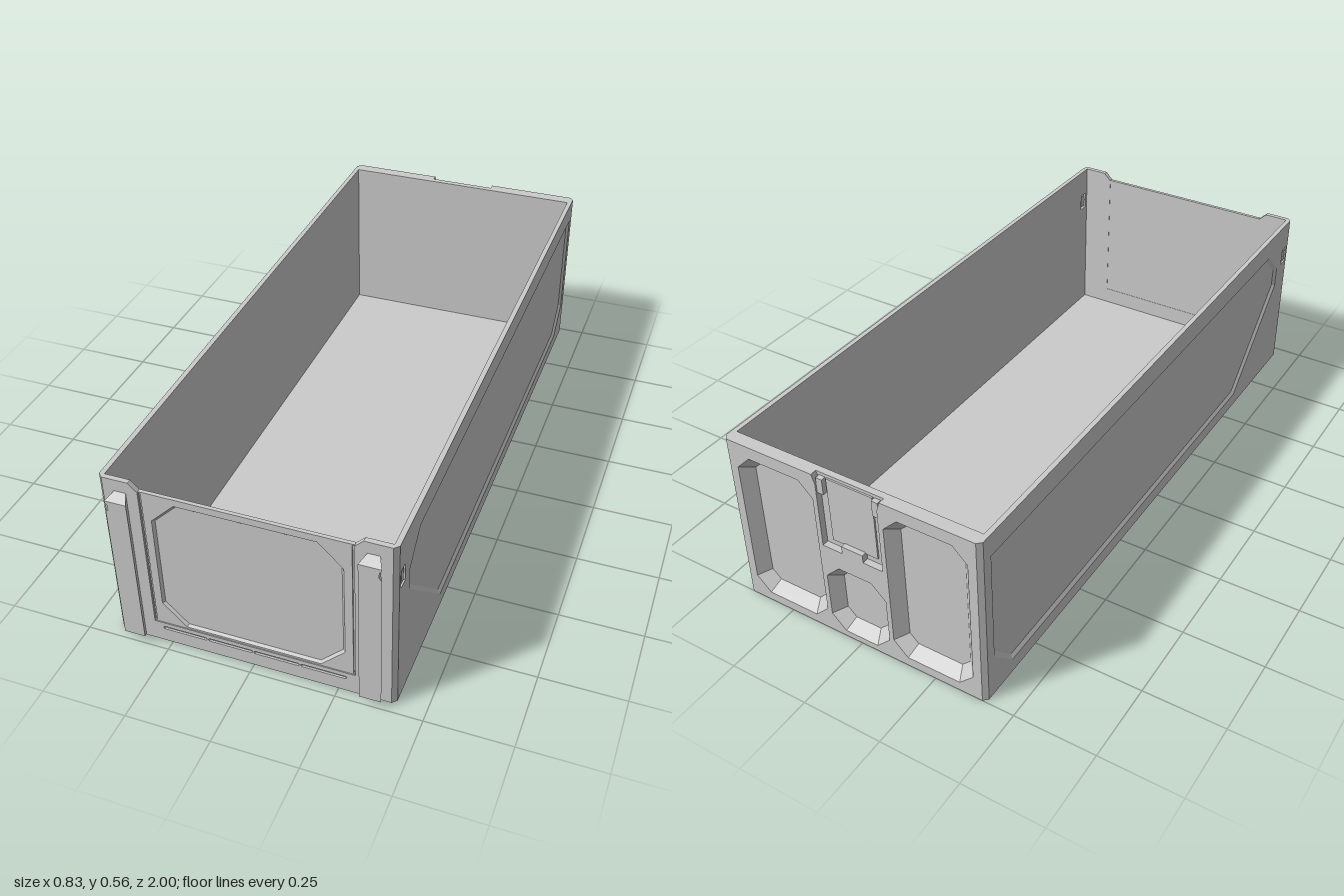
import * as THREE from 'three';

const material = new THREE.MeshStandardMaterial({ color: 0xcccccc, flatShading: true });

const toPoints = (pairs) => {
  const pts = pairs.map(([x, y]) => new THREE.Vector2(x, y));
  return THREE.ShapeUtils.isClockWise(pts) ? pts.reverse() : pts;
};

// Moves every edge of a counter-clockwise polygon inwards by d
function insetPolygon(pts, d) {
  const n = pts.length;
  const normal = (a, b) => {
    const e = b.clone().sub(a).normalize();
    return new THREE.Vector2(-e.y, e.x);
  };
  return pts.map((p, i) => {
    const n1 = normal(pts[(i + n - 1) % n], p);
    const n2 = normal(p, pts[(i + 1) % n]);
    return p.clone().addScaledVector(n1.clone().add(n2), d / (1 + n1.dot(n2)));
  });
}

// Closed slab facing +z with sloped recesses; recess = { pts, depth, inset, open }
function panel(name, outline, thickness, recesses = []) {
  const pos = [];
  const vert = (p, z) => pos.push(p.x, p.y, z);
  const fill = (contour, holes, z, flip) => {
    const all = contour.concat(...holes);
    for (const [a, b, c] of THREE.ShapeUtils.triangulateShape(contour.slice(), holes)) {
      for (const i of flip ? [a, c, b] : [a, b, c]) vert(all[i], z);
    }
  };
  const strip = (a, za, b, zb) => a.forEach((p, i) => {
    const j = (i + 1) % a.length;
    vert(p, za); vert(a[j], za); vert(b[j], zb);
    vert(p, za); vert(b[j], zb); vert(b[i], zb);
  });
  const edge = toPoints(outline);
  const cuts = recesses.map((r) => {
    const rim = toPoints(r.pts);
    return { ...r, rim, base: insetPolygon(rim, r.inset ?? 0) };
  });
  const reversed = (pts) => pts.slice().reverse();
  fill(edge, cuts.map((c) => reversed(c.rim)), 0, false);
  fill(edge, cuts.filter((c) => c.open).map((c) => reversed(c.base)), -thickness, true);
  strip(reversed(edge), 0, reversed(edge), -thickness);
  for (const c of cuts) {
    const z = c.open ? -thickness : -c.depth;
    strip(c.rim, 0, c.base, z);
    if (!c.open) fill(c.base, [], z, false);
  }
  const geometry = new THREE.BufferGeometry();
  geometry.setAttribute('position', new THREE.Float32BufferAttribute(pos, 3));
  geometry.computeVertexNormals();
  const mesh = new THREE.Mesh(geometry, material);
  mesh.name = name;
  return mesh;
}

function box(name, x0, x1, y0, y1, z0, z1) {
  const mesh = new THREE.Mesh(new THREE.BoxGeometry(x1 - x0, y1 - y0, z1 - z0), material);
  mesh.position.set((x0 + x1) / 2, (y0 + y1) / 2, (z0 + z1) / 2);
  mesh.name = name;
  return mesh;
}

const rect = (x0, x1, y0, y1) => [[x0, y0], [x1, y0], [x1, y1], [x0, y1]];
const chamferedRect = (x0, x1, y0, y1, c) => [
  [x0 + c, y0], [x1 - c, y0], [x1, y0 + c], [x1, y1 - c],
  [x1 - c, y1], [x0 + c, y1], [x0, y1 - c], [x0, y0 + c],
];

const H = 0.56, W = 0.415, FRONT = 0.97, BACK = -1, C = 0.013;

export function createModel() {
  const model = new THREE.Group();
  model.name = 'drawer';

  // Floor
  model.add(box('floor', -W + C, W - C, 0, 0.01, BACK + 0.01, FRONT - 0.01));
  for (const s of [-1, 1]) {
    model.add(box('floorEdge', s > 0 ? W - C : -W + 0.001, s > 0 ? W - 0.001 : -W + C, 0, 0.01, BACK + C, FRONT - C));
  }

  // Long side walls with a recessed field and a small slot
  const sideField = [[0.875, 0.41], [0.79, 0.49], [-0.955, 0.49], [-0.955, 0.135],
    [-0.87, 0.045], [0.58, 0.045], [0.875, 0.34]];
  for (const s of [-1, 1]) {
    const turn = (pts) => pts.map(([z, y]) => [-s * z, y]);
    const wall = panel('sideWall', turn(rect(BACK + C, FRONT - C, 0, H)), 0.015, [
      { pts: turn(sideField), depth: 0.008, inset: 0.012 },
      { pts: turn(rect(0.913, 0.946, 0.407, 0.464)), open: true },
    ]);
    wall.rotation.y = s * Math.PI / 2;
    wall.position.x = s * W;
    model.add(wall);
    const cx = s * (W - 0.007);
    model.add(box('slotInsert', cx - 0.005, cx + 0.005, 0.415, 0.456, 0.92, 0.939));
    model.add(box('slotBridge', cx - 0.003, cx + 0.003, 0.432, 0.439, 0.91, 0.95));

    // Chamfered corner posts
    for (const f of [1, -1]) {
      const end = f > 0 ? FRONT : BACK;
      const plan = [[W - C, 0], [W, C], [W - 0.015, C], [W - C - 0.004, 0.004]]
        .map(([x, d]) => [s * x, -(end - f * d)]);
      const post = panel('cornerPost', plan, H);
      post.rotation.x = -Math.PI / 2;
      post.position.y = H;
      model.add(post);
    }
  }

  // Front frame around the lower door, with a row of narrow slots below it
  const front = W - C;
  const slots = [-0.207, -0.069, 0.069, 0.207].map((x) => (
    { pts: chamferedRect(x - 0.067, x + 0.067, 0.045, 0.054, 0.003), depth: 0.006 }));
  const frame = panel('frontFrame', [
    [-front, 0], [front, 0], [front, H], [0.325, H], [0.3, 0.535], [0.3, 0.068],
    [-0.3, 0.068], [-0.3, 0.535], [-0.325, H], [-front, H],
  ], 0.015, slots);
  frame.position.z = FRONT;
  model.add(frame);

  // Front door
  const door = panel('frontDoor', rect(-0.3, 0.3, 0.068, 0.537), 0.011, [
    { pts: chamferedRect(-0.27, 0.27, 0.074, 0.515, 0.07), depth: 0.007, inset: 0.007 },
    { pts: rect(-0.299, -0.293, 0.072, 0.533), depth: 0.005 },
    { pts: rect(0.293, 0.299, 0.072, 0.533), depth: 0.005 },
  ]);
  door.position.z = FRONT - 0.003;
  model.add(door);

  // Front rails: wide face on a narrow stem, sloped at both ends
  for (const s of [-1, 1]) {
    const rail = panel('frontRail', [
      [0.32, 0.003], [0.383, 0.003], [0.383, 0.47], [0.376, 0.478], [0.376, 0.495],
      [0.383, 0.503], [0.383, 0.523], [0.32, 0.523],
    ].map(([x, y]) => [s * x, y]), 0.03);
    const p = rail.geometry.attributes.position;
    for (let i = 0; i < p.count; i++) {
      const x = p.getX(i), y = p.getY(i), mid = s * 0.3515;
      if (p.getZ(i) > -0.01) {
        if (y < 0.01) p.setY(i, 0.027);
        if (y > 0.52) p.setY(i, 0.508);
      } else {
        p.setX(i, mid + (x - mid) * 0.55);
      }
    }
    rail.geometry.computeVertexNormals();
    rail.position.z = 1;
    model.add(rail);
  }

  // Back wall with three deep pockets and a notch for the latch
  const back = panel('backWall', [
    [-front, 0], [front, 0], [front, H], [0.11, H], [0.1, 0.53], [0.1, 0.32],
    [-0.1, 0.32], [-0.1, 0.53], [-0.11, H], [-front, H],
  ], 0.04, [
    { pts: chamferedRect(-0.375, -0.115, 0.03, 0.52, 0.045), depth: 0.035, inset: 0.03 },
    { pts: chamferedRect(0.115, 0.375, 0.03, 0.52, 0.045), depth: 0.035, inset: 0.03 },
    { pts: chamferedRect(-0.1, 0.1, 0.02, 0.255, 0.045), depth: 0.035, inset: 0.03 },
  ]);
  back.rotation.y = Math.PI;
  back.position.z = BACK;
  model.add(back);

  // Latch plate, its guides and the tab below
  model.add(box('latchBacking', -0.11, 0.11, 0.315, H, -0.98, -0.96));
  model.add(box('latchPlate', -0.075, 0.075, 0.34, 0.55, -0.985, -0.975));
  model.add(box('latchTab', -0.035, 0.035, 0.305, 0.345, -1, -0.975));
  for (const s of [-1, 1]) {
    model.add(box('latchGuide', s * 0.09 - 0.01, s * 0.09 + 0.01, 0.5, 0.55, -0.995, -0.975));
  }
  return model;
}
